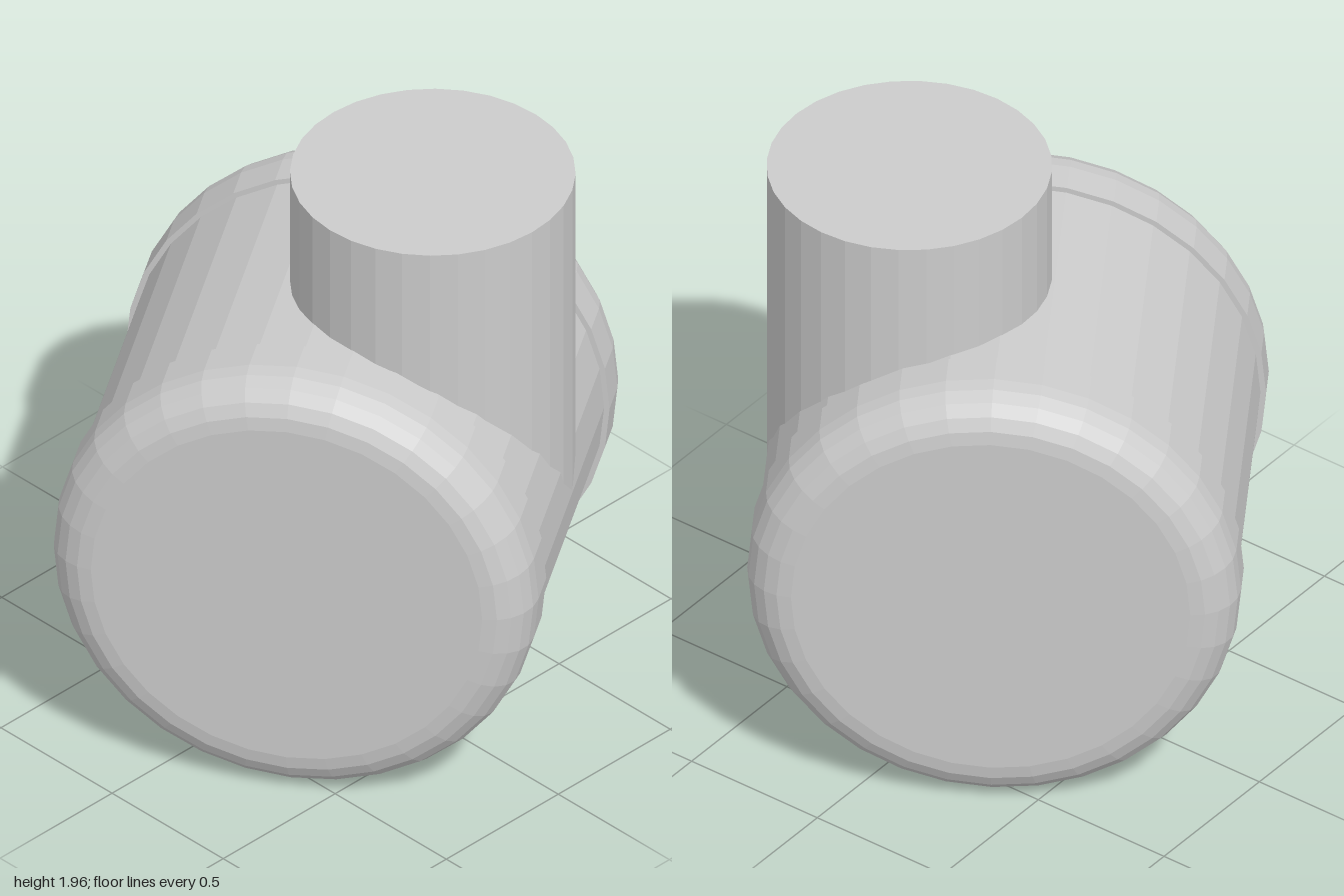
import * as THREE from 'three';

const SIDES = 32;
const AXIS_Y = 0.785;  // height of the drum axis
const TURN = 0.574;    // yaw of the drum axis away from +z

export function createModel() {
  const model = new THREE.Group();
  model.name = 'pipeJunction';
  const material = new THREE.MeshStandardMaterial({ color: 0xcccccc, flatShading: true });

  const add = (parent, name, geometry) => {
    const mesh = new THREE.Mesh(geometry, material);
    mesh.name = name;
    parent.add(mesh);
    return mesh;
  };

  // Horizontal drum, built along z and then turned
  const drum = new THREE.Group();
  drum.name = 'drum';
  drum.position.y = AXIS_Y;
  drum.rotation.y = TURN;
  model.add(drum);

  const barrel = new THREE.CylinderGeometry(0.767, 0.767, 0.96, SIDES);
  add(drum, 'barrel', barrel.rotateX(Math.PI / 2));

  // Rounded end caps, slightly wider than the barrel
  const radius = 0.785, end = 0.735, round = 0.15, steps = 5;
  const profile = [new THREE.Vector2(0, 0.47), new THREE.Vector2(radius, 0.47)];
  for (let i = 0; i <= steps; i++) {
    const a = (i / steps) * Math.PI / 2;
    profile.push(new THREE.Vector2(
      radius - round + round * Math.cos(a),
      end - round + round * Math.sin(a)
    ));
  }
  profile.push(new THREE.Vector2(0, end));
  for (const [name, angle] of [['frontCap', 0], ['backCap', Math.PI]]) {
    const cap = new THREE.LatheGeometry(profile, SIDES).rotateX(Math.PI / 2);
    add(drum, name, cap.rotateY(angle));
  }

  // Vertical pipe, tangent to one side of the barrel
  const bottom = AXIS_Y, top = 1.965;
  const pipe = add(model, 'verticalPipe',
    new THREE.CylinderGeometry(0.453, 0.453, top - bottom, SIDES));
  pipe.position.set(0.262, (top + bottom) / 2, -0.172);
  pipe.rotation.y = TURN;

  return model;
}
